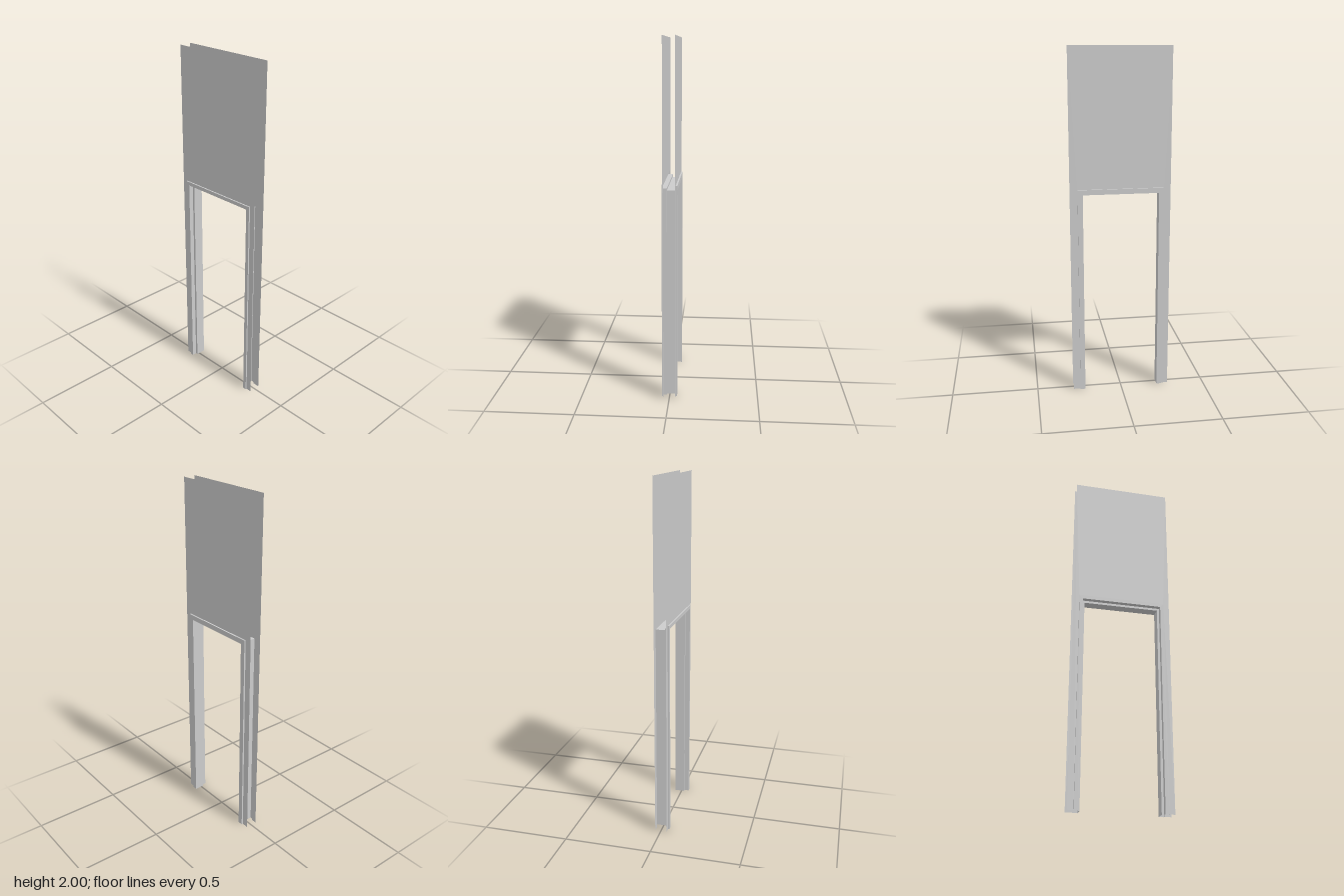
import * as THREE from 'three';

const material = new THREE.MeshStandardMaterial({ color: 0xcccccc, flatShading: true, side: THREE.DoubleSide });

// The frame head runs at a constant offset from the jambs, so corners are mitred.
const headHeight = (halfWidth) => halfWidth + 0.973;

// Folded sheet profile of the frame: [x, half width of the opening].
const PROFILE = [
  [-0.035, 0.251], [-0.043, 0.251], // wall return, deep casing
  [-0.043, 0.23], [-0.016, 0.23],   // casing face, door rebate
  [-0.016, 0.217], [0.042, 0.217],  // stop, soffit
  [0.042, 0.246], [0.033, 0.246],   // casing face, wall return
];

// Sweep the profile up one jamb, across the head and down the other jamb.
function frameGeometry() {
  const position = [];
  const sections = PROFILE.map(([x, w]) => [
    [x, 0, w], [x, headHeight(w), w], [x, headHeight(w), -w], [x, 0, -w],
  ]);
  for (let i = 0; i < sections.length - 1; i++) {
    for (let j = 0; j < 3; j++) {
      const a = sections[i][j], b = sections[i + 1][j];
      const c = sections[i + 1][j + 1], d = sections[i][j + 1];
      position.push(...a, ...b, ...c, ...a, ...c, ...d);
    }
  }
  const geometry = new THREE.BufferGeometry();
  geometry.setAttribute('position', new THREE.Float32BufferAttribute(position, 3));
  geometry.computeVertexNormals();
  return geometry;
}

// Thin wall skin with a doorway cut up from its foot.
function wallSkin(name, x, opening) {
  const half = 0.285, top = headHeight(opening);
  const outline = [
    [-half, 0], [-opening, 0], [-opening, top], [opening, top],
    [opening, 0], [half, 0], [half, 2], [-half, 2],
  ];
  const shape = new THREE.Shape(outline.map(([z, y]) => new THREE.Vector2(z, y)));
  const geometry = new THREE.ShapeGeometry(shape).rotateY(x > 0 ? Math.PI / 2 : -Math.PI / 2);
  const mesh = new THREE.Mesh(geometry, material);
  mesh.name = name;
  mesh.position.x = x;
  return mesh;
}

export function createModel() {
  const group = new THREE.Group();
  group.name = 'doorFrameInWall';

  const frame = new THREE.Mesh(frameGeometry(), material);
  frame.name = 'doorFrame';

  group.add(frame, wallSkin('leftWallSkin', 0.033, 0.246), wallSkin('rightWallSkin', -0.035, 0.251));
  return group;
}
